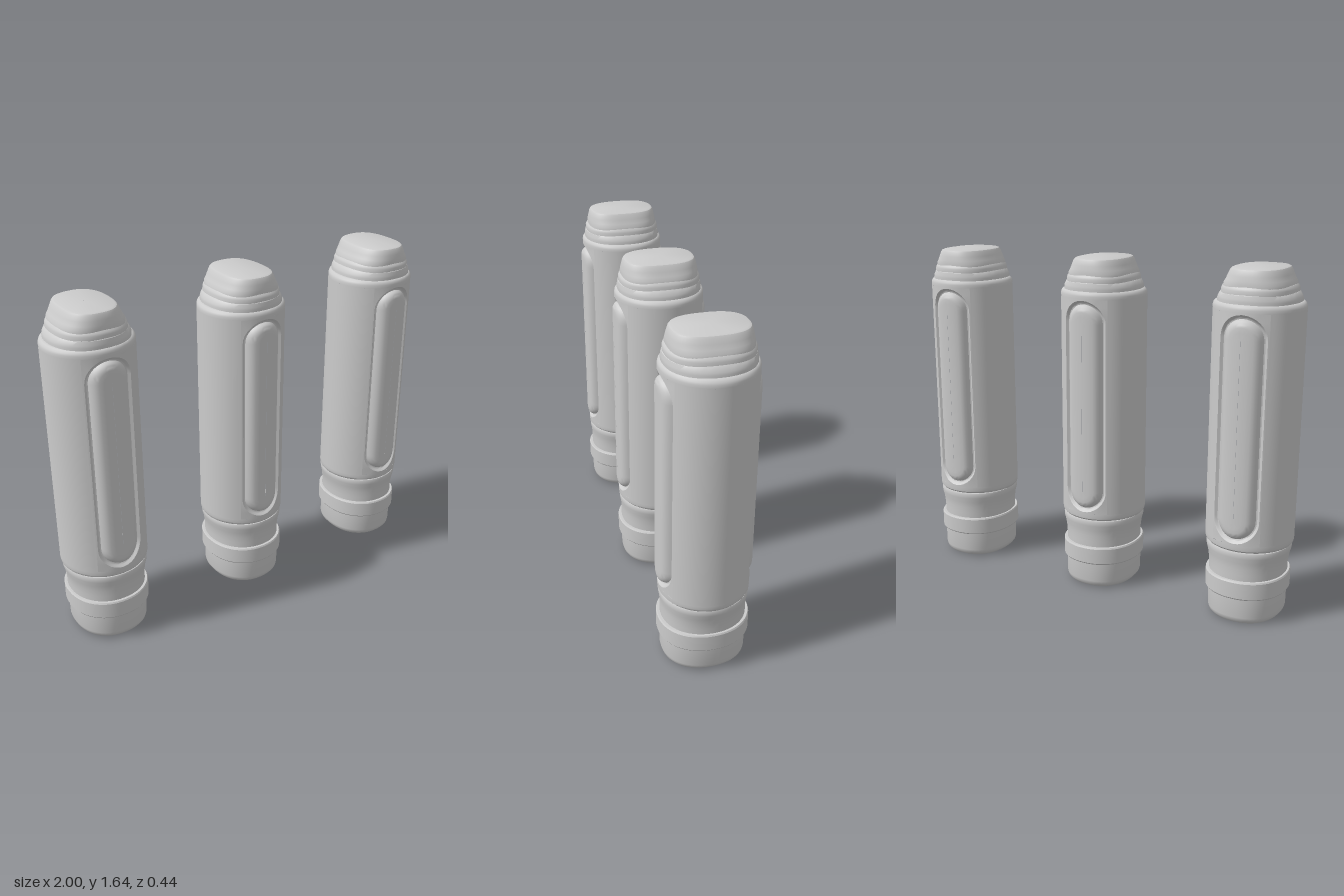
import * as THREE from 'three';
import { toCreasedNormals } from 'three/addons/utils/BufferGeometryUtils.js';

const R = 0.208;            // barrel radius
const MID = 0.93;           // height of the panel centre
const HALF = 0.415;         // half length of the panel's straight sides
const W = 0.115;            // half width of the barrel opening around a panel
const material = new THREE.MeshStandardMaterial({ color: 0xcccccc });

// Joins equal-length point rows into one surface
function skin(rows, crease = 0.5) {
  const n = rows[0].length;
  const index = [];
  for (let r = 0; r < rows.length - 1; r++) {
    for (let i = 0; i < n - 1; i++) {
      const a = r * n + i, b = a + n;
      index.push(a, a + 1, b + 1, a, b + 1, b);
    }
  }
  const geometry = new THREE.BufferGeometry();
  geometry.setAttribute('position', new THREE.Float32BufferAttribute(rows.flat(2), 3));
  geometry.setIndex(index);
  return toCreasedNormals(geometry, crease);
}

// Sweeps [y, halfWidth, halfDepth] sections round the axis; power > 2 squares the oval
function loft(sections, power = 2, from = 0, to = Math.PI * 2, segments = 56) {
  const bend = (v) => Math.sign(v) * Math.abs(v) ** (2 / power);
  return skin(sections.map(([y, hx, hz]) => {
    const row = [];
    for (let i = 0; i <= segments; i++) {
      const a = from + (to - from) * i / segments;
      row.push([hx * bend(Math.sin(a)), y, hz * bend(Math.cos(a))]);
    }
    return row;
  }));
}

// One ring of the panel: a stadium wrapped on the barrel, or its square-ended frame
function panelRing(width, lift, square = false) {
  const row = [];
  const steps = 16;
  for (const end of [1, -1]) {
    for (let i = 0; i <= steps; i++) {
      const a = Math.PI * i / steps;
      const c = Math.cos(a) * end, s = Math.sin(a) * end;
      const k = square ? width / Math.max(Math.abs(c), Math.abs(s)) : width;
      const x = c * k;
      row.push([x, MID + end * HALF + s * k, Math.sqrt(R * R - x * x) + lift]);
    }
  }
  row.push([...row[0]]);
  return row;
}

function createPen() {
  const pen = new THREE.Group();
  const add = (name, geometry, parent = pen) => {
    const mesh = new THREE.Mesh(geometry, material);
    mesh.name = name;
    parent.add(mesh);
    return mesh;
  };

  // Foot with a rounded lower edge
  add('foot', loft([
    [0, 0.001, 0.001], [0, 0.152, 0.17], [0.006, 0.162, 0.181],
    [0.02, 0.174, 0.192], [0.035, 0.178, 0.195], [0.145, 0.179, 0.196],
  ], 2.25));

  // Raised collar
  add('collar', loft([
    [0.133, 0.17, 0.185], [0.133, 0.191, 0.208], [0.139, 0.195, 0.212],
    [0.215, 0.195, 0.212], [0.222, 0.191, 0.208], [0.222, 0.17, 0.185],
  ], 2.15));

  // Waisted neck
  add('neck', loft([
    [0.215, 0.182, 0.196], [0.25, 0.182, 0.196], [0.28, 0.185, 0.196],
    [0.31, 0.19, 0.198], [0.335, 0.197, 0.203], [0.355, 0.199, 0.204],
    [0.363, 0.196, 0.201], [0.363, 0.17, 0.17],
  ], 2.1));

  // Barrel: closed ends, with side walls leaving front and back openings
  const barrel = new THREE.Group();
  barrel.name = 'barrel';
  pen.add(barrel);
  const low = MID - HALF - W, high = MID + HALF + W;
  add('barrelBase', loft([
    [0.366, 0.16, 0.16], [0.366, 0.2, 0.2], [0.374, 0.206, 0.207], [0.382, R, R], [low, R, R],
  ]), barrel);
  add('barrelShoulder', loft([
    [high, R, R], [1.474, R, R], [1.484, 0.204, 0.206], [1.492, 0.196, 0.2],
    [1.495, 0.188, 0.194], [1.495, 0.15, 0.15],
  ]), barrel);
  const gap = Math.asin(W / R);
  for (const [name, start] of [['leftWall', 0], ['rightWall', Math.PI]]) {
    add(name, loft([[low, R, R], [high, R, R]], 2, start + gap, start + Math.PI - gap, 24), barrel);
  }

  // Long pill-shaped panels, each set in a groove
  const profile = [
    [0.109, 0], [0.105, -0.004], [0.1, -0.012], [0.096, -0.016], [0.09, -0.017],
    [0.087, -0.01], [0.082, -0.002], [0.075, 0.004], [0.067, 0.008],
    [0.056, 0.01], [0.035, 0.01], [0.015, 0.01], [0.0005, 0.01],
  ];
  const panel = skin([panelRing(W, 0, true), ...profile.map(([w, d]) => panelRing(w, d))], 0.7);
  add('frontPanel', panel);
  add('backPanel', panel).rotation.y = Math.PI;

  // Stepped tiers up to the oblong top
  add('lowerTier', loft([
    [1.48, 0.186, 0.194], [1.505, 0.185, 0.195], [1.515, 0.182, 0.194],
    [1.532, 0.172, 0.19], [1.537, 0.166, 0.184], [1.537, 0.12, 0.14],
  ], 2.15));
  add('upperTier', loft([
    [1.53, 0.166, 0.187], [1.55, 0.164, 0.188], [1.56, 0.16, 0.184],
    [1.568, 0.152, 0.176], [1.568, 0.1, 0.12],
  ], 2.3));
  add('top', loft([
    [1.56, 0.152, 0.177], [1.575, 0.15, 0.177], [1.59, 0.14, 0.175], [1.61, 0.131, 0.171],
    [1.63, 0.122, 0.166], [1.638, 0.116, 0.161], [1.642, 0.107, 0.152], [1.643, 0.001, 0.001],
  ], 2.6));
  return pen;
}

export function createModel() {
  const model = new THREE.Group();
  model.name = 'threePens';
  const pen = createPen();
  [['rightPen', -1], ['middlePen', 0], ['leftPen', 1]].forEach(([name, side]) => {
    const copy = pen.clone();
    copy.name = name;
    copy.position.x = side * (1 - R);
    model.add(copy);
  });
  return model;
}
